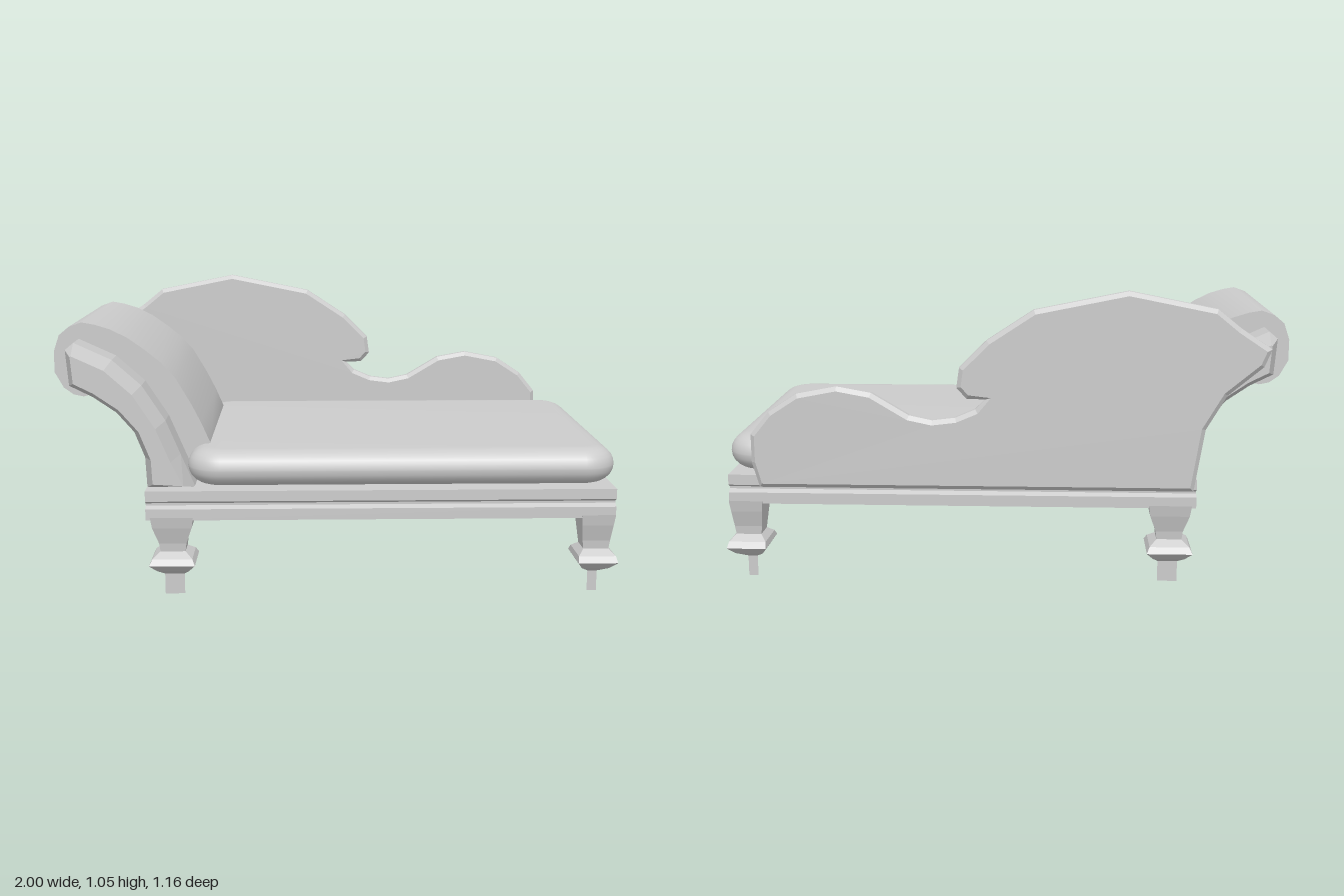
import * as THREE from 'three';
import { toCreasedNormals } from 'three/addons/utils/BufferGeometryUtils.js';

const material = new THREE.MeshStandardMaterial({ color: 0xcccccc, side: THREE.DoubleSide });
const flat = new THREE.MeshStandardMaterial({ color: 0xcccccc, side: THREE.DoubleSide, flatShading: true });

const outline = (pts) => new THREE.Shape(pts.map(([x, y]) => new THREE.Vector2(x, y)));

function add(parent, name, geometry, mat = flat) {
  const mesh = new THREE.Mesh(geometry, mat);
  mesh.name = name;
  parent.add(mesh);
  return mesh;
}

// Extrudes an outline between two z values; the chamfer stays inside the outline.
function slab(pts, z0, z1, bevelSize = 0, bevelThickness = 0) {
  return new THREE.ExtrudeGeometry(outline(pts), {
    depth: z1 - z0 - 2 * bevelThickness, bevelEnabled: bevelSize > 0,
    bevelSize, bevelThickness, bevelOffset: -bevelSize, bevelSegments: 1,
  }).translate(0, 0, z0 + bevelThickness);
}

// Stacks rectangular sections [y, half width x, half width z] from top to bottom.
function squareLoft(levels) {
  const pos = [], index = [];
  for (const [y, hx, hz] of levels) pos.push(-hx, y, hz, hx, y, hz, hx, y, -hz, -hx, y, -hz);
  for (let i = 0; i < levels.length - 1; i++) {
    for (let k = 0; k < 4; k++) {
      const a = i * 4 + k, b = i * 4 + (k + 1) % 4;
      index.push(a, a + 4, b, b, a + 4, b + 4);
    }
  }
  const g = new THREE.BufferGeometry();
  g.setAttribute('position', new THREE.Float32BufferAttribute(pos, 3));
  g.setIndex(index);
  g.computeVertexNormals();
  return g;
}

// Turned square leg with a flared foot that ends in a ridge, on a flat peg.
function makeLeg(name, x, z, top, neck, foot, tip) {
  const leg = new THREE.Group();
  leg.name = name;
  add(leg, 'legBody', squareLoft([
    [0.3, top, 0.067], [0.26, top * 0.92, 0.06], [0.2, neck + 0.004, 0.043], [0.17, neck, 0.04],
    [0.15, (neck + foot) / 2 + 0.008, 0.07], [0.13, foot, 0.088],
    [0.1, foot * 0.7, 0.05], [0.075, tip, 0.001],
  ]));
  add(leg, 'legPeg', new THREE.PlaneGeometry(tip * 2, 0.08).translate(0, 0.04, 0));
  leg.position.set(x, 0, z);
  return leg;
}

function roundedRect(x0, x1, y0, y1, r) {
  const s = new THREE.Shape();
  s.absarc(x1 - r, y1 - r, r, 0, Math.PI / 2);
  s.absarc(x0 + r, y1 - r, r, Math.PI / 2, Math.PI);
  s.absarc(x0 + r, y0 + r, r, Math.PI, Math.PI * 1.5);
  s.absarc(x1 - r, y0 + r, r, Math.PI * 1.5, Math.PI * 2);
  return s;
}

export function createModel() {
  const model = new THREE.Group();
  model.name = 'chaiseLounge';

  // Seat rail, with a groove along the front and back
  const rail = slab([
    [-0.555, 0.29], [0.54, 0.29], [0.54, 0.33], [0.522, 0.34], [0.522, 0.348], [0.54, 0.358],
    [0.54, 0.395], [-0.555, 0.395], [-0.555, 0.358], [-0.537, 0.348], [-0.537, 0.34], [-0.555, 0.33],
  ], -0.67, 0.98);
  add(model, 'seatRail', rail.rotateY(Math.PI / 2));

  // Legs: the head end is wider than the foot end
  for (const [side, z] of [['front', 0.49], ['back', -0.48]]) {
    model.add(makeLeg(side + 'HeadLeg', -0.58, z, 0.075, 0.044, 0.08, 0.035));
    model.add(makeLeg(side + 'FootLeg', 0.92, z, 0.06, 0.045, 0.07, 0.017));
  }

  // Seat cushion with a soft rolled edge
  const cushion = new THREE.ExtrudeGeometry(roundedRect(-0.455, 0.92, -0.46, 0.45, 0.045), {
    depth: 0.004, bevelSize: 0.075, bevelThickness: 0.063, bevelSegments: 6, curveSegments: 6,
  }).rotateX(-Math.PI / 2).translate(0, 0.458, 0);
  // Shape y becomes -z after the turn
  add(model, 'seatCushion', toCreasedNormals(cushion, 0.7), material);

  // Scrolled head rest, chamfered toward both ends
  add(model, 'scrollArm', slab([
    [-0.67, 0.39], [-0.5, 0.39], [-0.55, 0.51], [-0.6, 0.63], [-0.68, 0.755], [-0.78, 0.845],
    [-0.91, 0.905], [-0.94, 0.88], [-0.93, 0.755], [-0.85, 0.715], [-0.77, 0.66], [-0.71, 0.59],
    [-0.675, 0.5],
  ], -0.54, 0.557, 0.03, 0.08));

  // Padding wrapped over the head rest
  const pad = slab([
    [-0.57, 0.41], [-0.455, 0.41], [-0.455, 0.53], [-0.485, 0.6], [-0.52, 0.67], [-0.575, 0.765],
    [-0.625, 0.82], [-0.68, 0.865], [-0.74, 0.908], [-0.8, 0.938], [-0.855, 0.955], [-0.9, 0.963],
    [-0.945, 0.947], [-0.98, 0.918], [-1, 0.86], [-1, 0.785], [-0.97, 0.73], [-0.935, 0.705],
    [-0.9, 0.698], [-0.85, 0.712], [-0.78, 0.76], [-0.68, 0.66], [-0.61, 0.52],
  ], -0.35, 0.37);
  add(model, 'headPad', toCreasedNormals(pad, 0.6), material);

  // Carved back panel with a wave and a hooked notch
  add(model, 'backPanel', slab([
    [-0.655, 0.36], [0.86, 0.36], [0.885, 0.45], [0.885, 0.55], [0.82, 0.63], [0.72, 0.695],
    [0.58, 0.722], [0.46, 0.7], [0.33, 0.622], [0.25, 0.605], [0.17, 0.615], [0.1, 0.645],
    [0.065, 0.68], [0.13, 0.682], [0.165, 0.72], [0.155, 0.79], [0.06, 0.885], [-0.1, 0.99],
    [-0.42, 1.055], [-0.72, 0.995], [-0.8, 0.93], [-0.905, 0.86], [-0.88, 0.8], [-0.76, 0.7],
    [-0.69, 0.58],
  ], -0.582, -0.535, 0.015, 0.014));

  return model;
}
